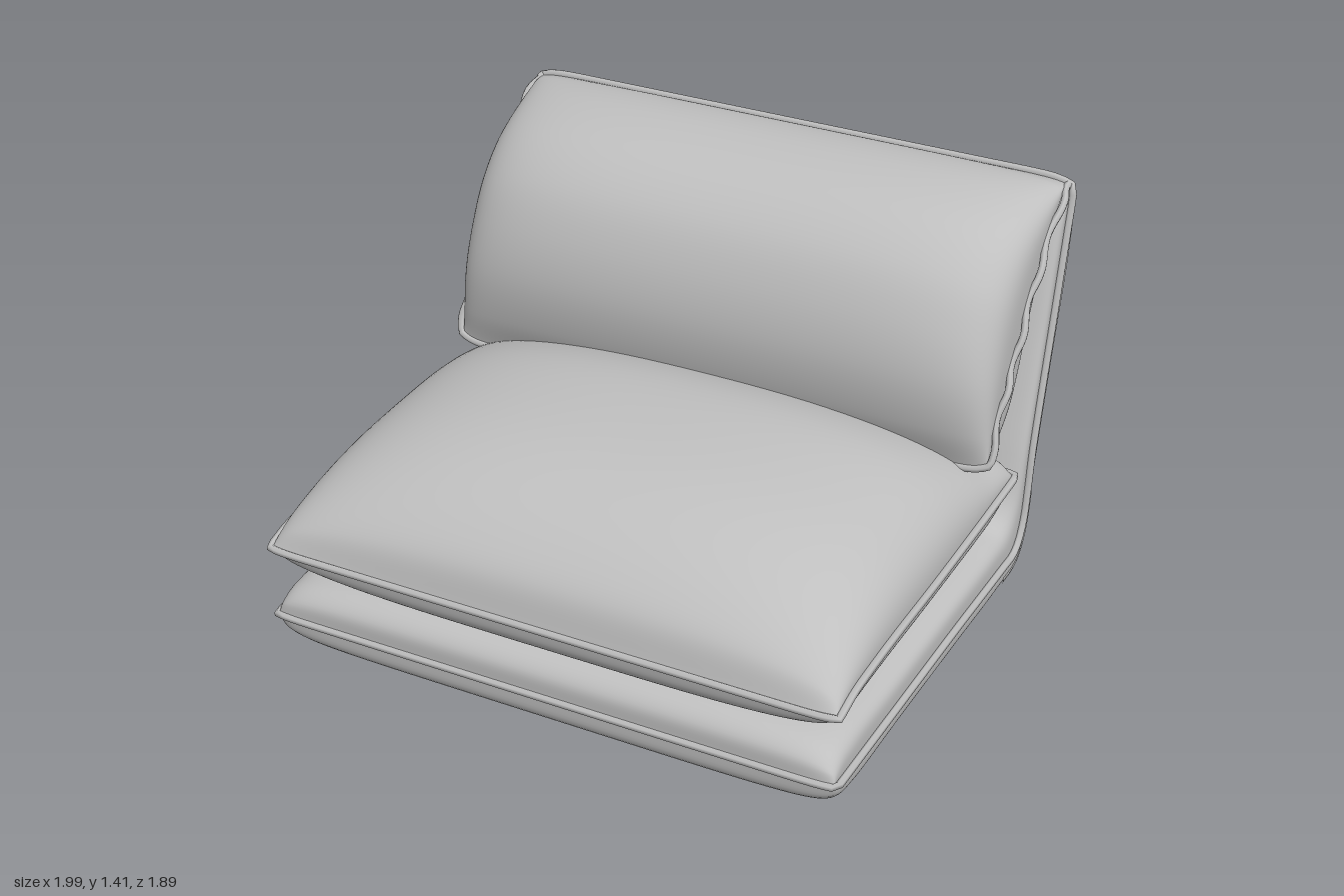
import * as THREE from 'three';

const fabric = new THREE.MeshStandardMaterial({ color: 0xbfbfbf });
fabric.name = 'greyFabric';

const curve = pts => new THREE.CatmullRomCurve3(pts.map(([z, y]) => new THREE.Vector3(0, y, z)));

// A stuffed shape: side profiles swept across x, closing onto a seam at both ends.
// n is the roundness of the ends (larger is squarer).
function stuffing({ half, seam, top, bottom, nTop, nBottom }) {
  const s = curve(seam), sides = { top: [curve(top), nTop], bottom: [curve(bottom), nBottom] };
  const seamPoint = (u, t) => {
    const p = s.getPoint(THREE.MathUtils.lerp(t, 0.5, 0.05 * Math.abs(u) ** 30));
    return p.setX(u * half);
  };
  const surface = (side, u, t, grow = 0) => {
    const [c, n] = sides[side];
    const f = Math.max(0, 1 - Math.abs(u) ** n) ** (1 / n);
    const puff = c.getPoint(t).sub(s.getPoint(t));
    const p = seamPoint(u, t).addScaledVector(puff, f);
    p.addScaledVector(puff.normalize(), grow);
    p.x += Math.sign(u) * grow * (1 - f);
    return p;
  };
  return { half, seamPoint, surface };
}

// Grid of faces over part of a surface
function grid(fn, nu, nt, flip) {
  const pos = [], idx = [];
  for (let j = 0; j <= nt; j++)
    for (let i = 0; i <= nu; i++) pos.push(...fn(i / nu, j / nt).toArray());
  for (let j = 0; j < nt; j++)
    for (let i = 0; i < nu; i++) {
      const a = j * (nu + 1) + i, b = a + 1, c = a + nu + 1, d = c + 1;
      if (flip) idx.push(a, c, b, b, c, d);
      else idx.push(a, b, c, b, d, c);
    }
  const g = new THREE.BufferGeometry();
  g.setAttribute('position', new THREE.Float32BufferAttribute(pos, 3));
  g.setIndex(idx);
  g.computeVertexNormals();
  return g;
}

function mesh(geometry, name) {
  const m = new THREE.Mesh(geometry, fabric);
  m.name = name;
  return m;
}

// Spread samples so that they gather near the two ends
const ease = k => Math.sin(Math.PI / 2 * Math.sin(Math.PI / 2 * (2 * k - 1)));

function cushion(name, shape, wobble = 0) {
  const group = new THREE.Group();
  group.name = name;
  for (const side of ['top', 'bottom'])
    group.add(mesh(grid((a, t) => shape.surface(side, ease(a), t), 64, 72, side === 'bottom'), name + side));

  // Piping round the seam
  const path = [], N = 30;
  const add = (u, t) => {
    const p = shape.seamPoint(u, t);
    p.x += Math.sign(u) * (0.008 + wobble * Math.sin(t * 31)) * Math.abs(u) ** 30;
    path.push(p);
  };
  for (let i = 0; i < N; i++) add(ease(i / N), 0);
  for (let i = 0; i < N; i++) add(1, i / N);
  for (let i = 0; i < N; i++) add(-ease(i / N), 1);
  for (let i = 0; i < N; i++) add(-1, 1 - i / N);
  const line = path.filter((p, i) => p.distanceTo(path[(i + 1) % path.length]) > 0.004);
  group.add(mesh(new THREE.TubeGeometry(new THREE.CatmullRomCurve3(line, true), 300, 0.013, 6, true), name + 'Piping'));
  return group;
}

export function createModel() {
  const model = new THREE.Group();
  model.name = 'foldingSofaChair';

  // Base and reclined back in one folded mattress
  const frame = stuffing({
    half: 0.975, nTop: 5, nBottom: 6,
    seam: [[0.93, 0.15], [0.9, 0.15], [0.82, 0.15], [0.5, 0.15], [0, 0.15], [-0.38, 0.145], [-0.5, 0.15],
      [-0.56, 0.22], [-0.61, 0.5], [-0.71, 0.9], [-0.79, 1.22], [-0.81, 1.3], [-0.82, 1.375]],
    top: [[0.93, 0.15], [0.925, 0.23], [0.86, 0.28], [0.5, 0.285], [0, 0.285], [-0.3, 0.285], [-0.42, 0.3],
      [-0.48, 0.36], [-0.54, 0.55], [-0.64, 0.93], [-0.71, 1.22], [-0.76, 1.33], [-0.82, 1.375]],
    bottom: [[0.93, 0.15], [0.915, 0.07], [0.82, 0.015], [0.5, 0.01], [0, 0.005], [-0.4, 0.002], [-0.6, 0.02],
      [-0.67, 0.09], [-0.73, 0.3], [-0.84, 0.73], [-0.945, 1.14], [-0.92, 1.24], [-0.82, 1.375]],
  });
  model.add(cushion('baseAndBack', frame));

  // Reinforcing patches on the rear lower corners
  for (const s of [-1, 1]) {
    const g = grid((a, b) => {
      const u = s * Math.sin(Math.PI / 2 * THREE.MathUtils.lerp(0.58, 0.985, a));
      return frame.surface('bottom', u, THREE.MathUtils.lerp(0.43, 0.645, b), 0.006);
    }, 16, 20, s > 0);
    model.add(mesh(g, s > 0 ? 'leftCornerPatch' : 'rightCornerPatch'));
  }

  // Domed seat cushion
  model.add(cushion('seatCushion', stuffing({
    half: 0.977, nTop: 2.5, nBottom: 4,
    seam: [[0.935, 0.4], [0.9, 0.41], [0.82, 0.43], [0.68, 0.44], [0.5, 0.445], [0.25, 0.445], [0, 0.45],
      [-0.17, 0.455], [-0.3, 0.46], [-0.42, 0.465], [-0.465, 0.47]],
    top: [[0.935, 0.4], [0.9, 0.53], [0.82, 0.62], [0.68, 0.71], [0.5, 0.77], [0.25, 0.798], [0, 0.79],
      [-0.17, 0.74], [-0.3, 0.67], [-0.45, 0.6], [-0.465, 0.47]],
    bottom: [[0.935, 0.4], [0.915, 0.33], [0.86, 0.285], [0.68, 0.28], [0.5, 0.28], [0.25, 0.28], [0, 0.28],
      [-0.17, 0.28], [-0.32, 0.29], [-0.43, 0.35], [-0.465, 0.47]],
  })));

  // Back pillow folded over the top of the back
  model.add(cushion('backPillow', stuffing({
    half: 0.965, nTop: 4, nBottom: 5,
    seam: [[-0.22, 0.6], [-0.27, 0.72], [-0.33, 0.83], [-0.4, 0.92], [-0.47, 1.03], [-0.55, 1.14],
      [-0.65, 1.25], [-0.76, 1.34], [-0.83, 1.365]],
    top: [[-0.22, 0.6], [-0.165, 0.74], [-0.145, 0.92], [-0.18, 1.1], [-0.26, 1.25], [-0.4, 1.36],
      [-0.6, 1.41], [-0.75, 1.4], [-0.83, 1.365]],
    bottom: [[-0.22, 0.6], [-0.38, 0.59], [-0.48, 0.62], [-0.55, 0.76], [-0.61, 0.95], [-0.66, 1.1],
      [-0.72, 1.24], [-0.78, 1.33], [-0.83, 1.365]],
  }), 0.008));

  return model;
}
